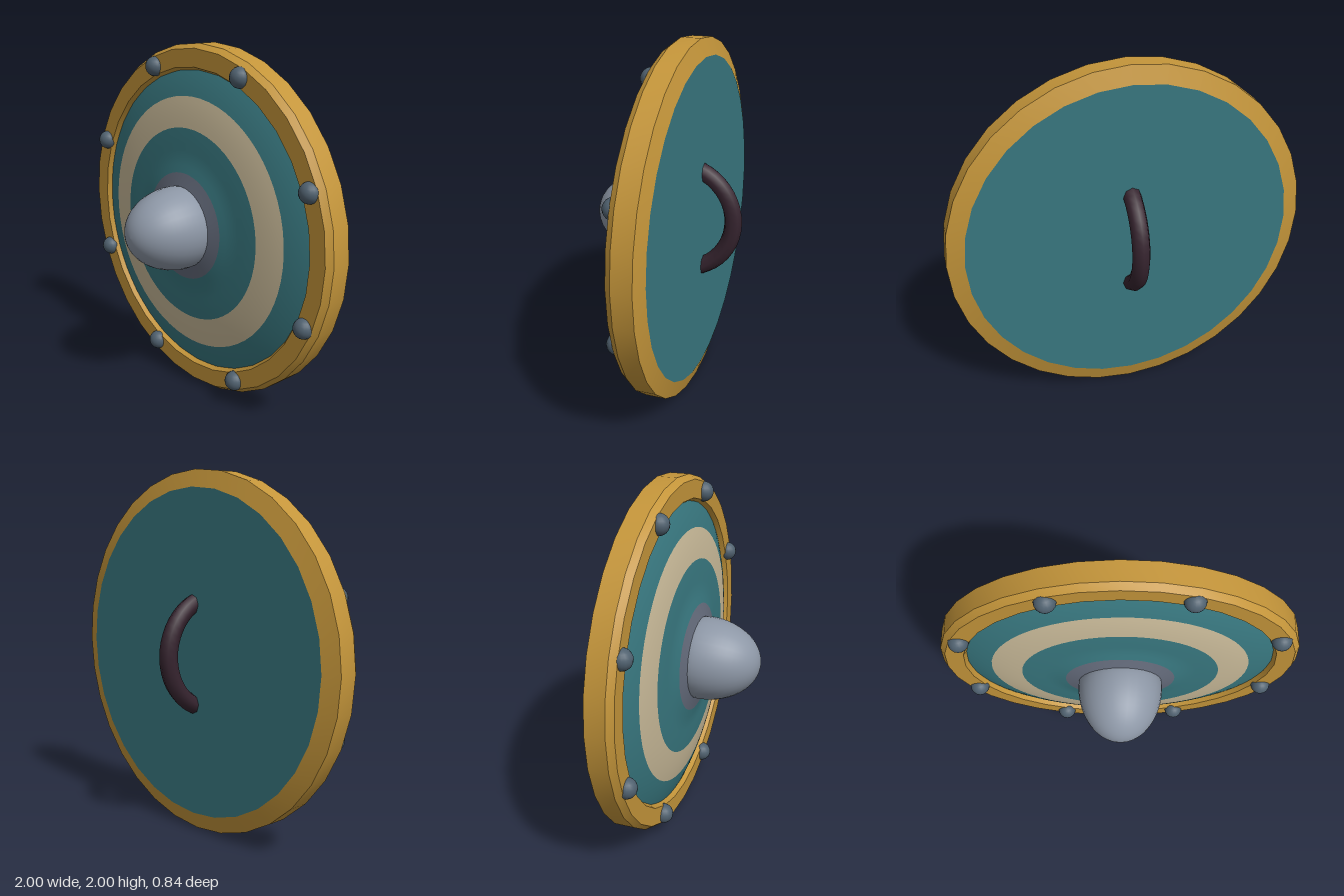
import * as THREE from 'three';
import { toCreasedNormals } from 'three/addons/utils/BufferGeometryUtils.js';

const material = (name, color, side = THREE.FrontSide) => {
  const m = new THREE.MeshStandardMaterial({ color, side });
  m.name = name;
  return m;
};

// Lathe around the z axis; profile points are [radius, z]
function latheZ(points, segments) {
  const g = new THREE.LatheGeometry(points.map(([r, z]) => new THREE.Vector2(r, z)), segments);
  return g.rotateX(Math.PI / 2);
}

// Height of the domed board face at radius r, flaring up toward the boss
function faceZ(r) {
  const flare = r < 0.4 ? 0.035 * Math.pow((0.4 - r) / 0.17, 1.3) : 0;
  return 0.041 - 0.17 * r ** 4 + flare;
}

export function createModel() {
  const gold = material('gold', 0xc4953a);
  const teal = material('teal', 0x38777f);
  const cream = material('cream', 0xc8b998);
  const steel = material('steel', 0x8d97a6);
  const collarGrey = material('collarGrey', 0x646b7b);
  const iron = material('iron', 0x4f606e);
  const leather = material('leather', 0x36242f);

  const shield = new THREE.Group();
  shield.name = 'shield';
  shield.position.y = 1;
  const add = (name, geometry, mat) => {
    const mesh = new THREE.Mesh(geometry, mat);
    mesh.name = name;
    shield.add(mesh);
    return mesh;
  };

  // Metal rim with bevelled edges
  const rim = latheZ([
    [0.905, -0.2], [1, -0.17], [1, -0.06], [0.975, -0.025], [0.875, -0.025], [0.845, -0.075],
  ], 32);
  add('rim', toCreasedNormals(rim, 0.4), gold);

  // Domed front face in painted rings
  const bands = [
    ['outerRing', 0.86, 0.72, teal],
    ['creamRing', 0.72, 0.55, cream],
    ['innerRing', 0.55, 0.305, teal],
    ['bossCollar', 0.305, 0.2, collarGrey],
  ];
  for (const [name, outer, inner, mat] of bands) {
    const points = [];
    for (let i = 0; i <= 6; i++) {
      const r = outer + (inner - outer) * i / 6;
      points.push([r, faceZ(r)]);
    }
    add(name, latheZ(points, 64), mat);
  }

  // Flat back of the board
  const back = add('boardBack', new THREE.CircleGeometry(0.906, 32).rotateY(Math.PI), teal);
  back.position.z = -0.2;

  // Rounded central boss
  const boss = [[0.228, 0.06], [0.232, 0.075]];
  for (let i = 0; i <= 14; i++) {
    const a = i / 14 * Math.PI / 2;
    boss.push([0.235 * Math.cos(a), 0.1 + 0.32 * Math.sin(a)]);
  }
  add('boss', latheZ(boss, 32), steel);

  // Rivets around the rim
  const rivetGeometry = new THREE.SphereGeometry(0.056, 16, 12);
  for (let i = 0; i < 8; i++) {
    const a = (i + 0.5) * Math.PI / 4;
    add('rivet', rivetGeometry, iron)
      .position.set(0.922 * Math.cos(a), 0.922 * Math.sin(a), -0.028);
  }

  // Arched grip, its ends sunk into the board
  const grip = new THREE.TorusGeometry(0.31, 0.05, 8, 24, Math.PI);
  grip.rotateZ(-Math.PI / 2).rotateY(Math.PI / 2);
  add('grip', grip, leather).position.z = -0.06;

  const model = new THREE.Group();
  model.add(shield);
  return model;
}
